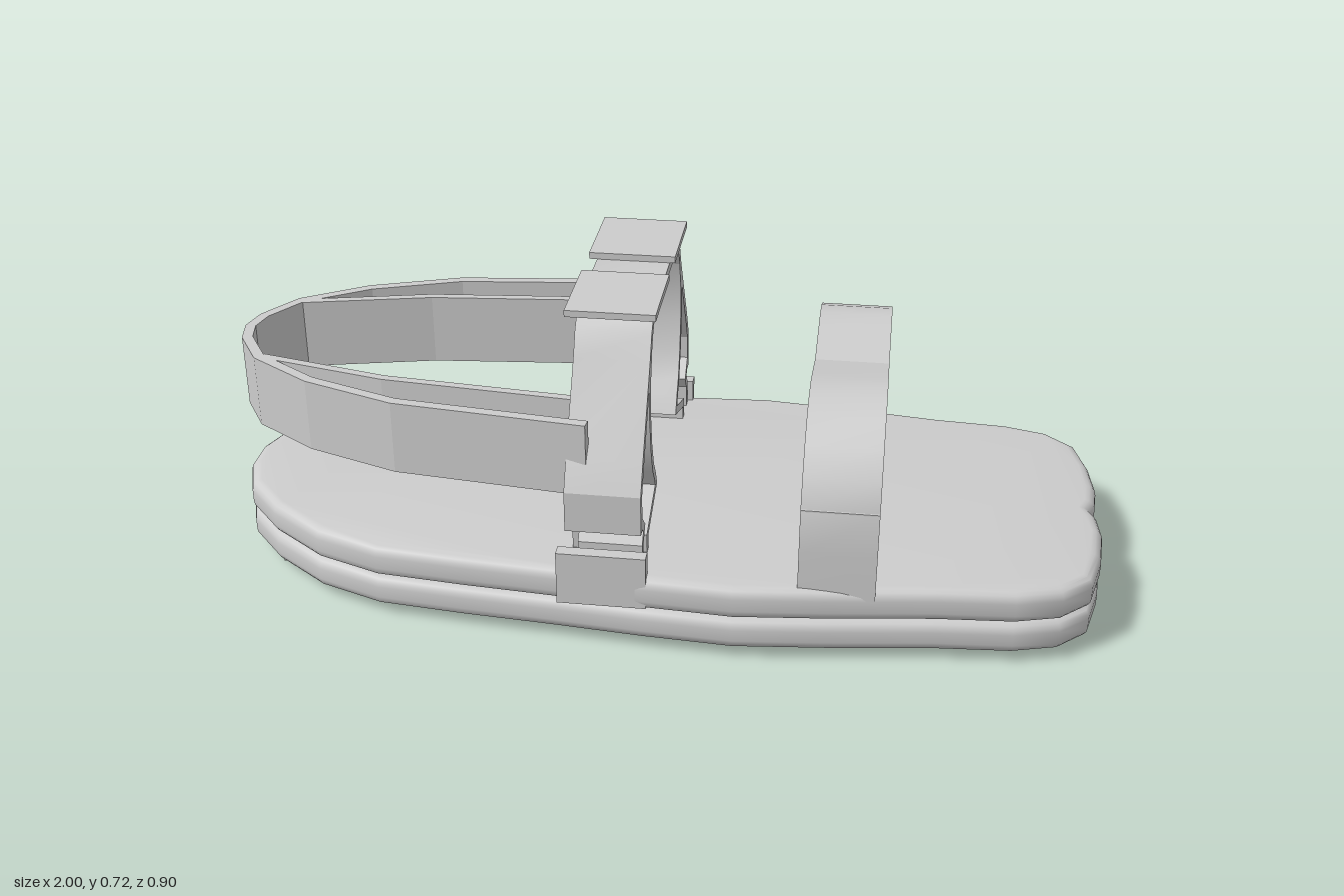
import * as THREE from 'three';
import { toCreasedNormals } from 'three/addons/utils/BufferGeometryUtils.js';

const grey = new THREE.MeshStandardMaterial({ color: 0xcccccc });
grey.name = 'grey';

function add(parent, name, geometry) {
  const mesh = new THREE.Mesh(geometry, grey);
  mesh.name = name;
  parent.add(mesh);
  return mesh;
}

// Closed band of constant thickness around an open 2D centre line
function ribbonShape(points, thickness) {
  const p = points.map(([a, b]) => new THREE.Vector2(a, b));
  const left = [], right = [];
  p.forEach((q, i) => {
    const a = q.clone().sub(p[Math.max(i - 1, 0)]).normalize();
    const b = p[Math.min(i + 1, p.length - 1)].clone().sub(q).normalize();
    const t = a.clone().add(b).normalize();
    const n = new THREE.Vector2(-t.y, t.x);
    const ref = i === 0 ? b : a;
    const miter = thickness / 2 / Math.max(0.55, t.dot(ref));
    left.push(q.clone().addScaledVector(n, miter));
    right.unshift(q.clone().addScaledVector(n, -miter));
  });
  return new THREE.Shape([...left, ...right]);
}

// Band drawn in (z, y), running across the foot, spanning x0..x1
function crossBand(points, thickness, x0, x1) {
  const shape = ribbonShape(points.map(([z, y]) => [-z, y]), thickness);
  const g = new THREE.ExtrudeGeometry(shape, { depth: x1 - x0, bevelEnabled: false });
  g.rotateY(Math.PI / 2);
  g.translate(x0, 0, 0);
  return toCreasedNormals(g, 0.45);
}

// Band drawn in (x, z), standing upright from y0 to y1
function uprightBand(points, thickness, y0, y1) {
  const g = new THREE.ExtrudeGeometry(ribbonShape(points, thickness), { depth: y1 - y0, bevelEnabled: false });
  g.rotateX(Math.PI / 2);
  g.translate(0, y1, 0);
  return g;
}

const flip = (pts) => pts.map(([z, y]) => [-z, y]);
const mirrored = (half) => [...half, ...flip(half).reverse()];

// Half outline of the sole (x, z), heel to toe
const outline = [
  [-1, 0.04], [-0.965, 0.14], [-0.88, 0.235], [-0.75, 0.33], [-0.6, 0.385],
  [-0.4, 0.405], [-0.2, 0.42], [0, 0.438], [0.2, 0.45], [0.4, 0.43], [0.63, 0.4],
  [0.8, 0.388], [0.9, 0.36], [0.965, 0.3], [0.99, 0.2], [1, 0.1], [0.993, 0.03], [0.98, 0],
];

function halfWidth(x) {
  for (let i = 1; i < outline.length; i++) {
    const [x0, z0] = outline[i - 1], [x1, z1] = outline[i];
    if (x <= x1) return z0 + (z1 - z0) * (x - x0) / (x1 - x0);
  }
  return 0;
}

function soleLayer(y0, y1) {
  const other = outline.slice(0, -1).reverse().map(([x, z]) => [x, -z]);
  const shape = new THREE.Shape([...outline, ...other].map(([x, z]) => new THREE.Vector2(x, z)));
  const r = 0.025;
  const g = new THREE.ExtrudeGeometry(shape, {
    depth: y1 - y0 - 2 * r, bevelSize: r, bevelThickness: r, bevelOffset: -r, bevelSegments: 4,
  });
  g.rotateX(Math.PI / 2);
  g.translate(0, y1 - r, 0);
  return toCreasedNormals(g, 0.7);
}

export function createModel() {
  const model = new THREE.Group();
  model.name = 'sandal';

  // Two-layer sole
  add(model, 'outsole', soleLayer(0.023, 0.099));
  add(model, 'footbed', soleLayer(0.099, 0.178));

  // Tread bars under the sole
  for (let i = 0; i < 10; i++) {
    const x = -0.855 + i * 0.1855;
    const bar = add(model, 'treadBar', new THREE.BoxGeometry(0.06, 0.03, halfWidth(x) * 1.54));
    bar.position.set(x, 0.015, 0);
  }

  // Two toe straps crossing over the forefoot
  const toe = [
    [0.408, 0.15], [0.406, 0.26], [0.4, 0.36], [0.372, 0.42], [0.33, 0.475], [0.28, 0.515],
    [0.23, 0.533], [0.18, 0.538], [0.12, 0.528], [0, 0.503], [-0.15, 0.473], [-0.3, 0.44],
    [-0.36, 0.412], [-0.4, 0.36], [-0.408, 0.15],
  ];
  add(model, 'toeStrap', crossBand(toe, 0.022, 0.336, 0.502));
  add(model, 'toeStrapCrossing', crossBand(flip(toe), 0.022, 0.336, 0.502));

  // Instep arch
  const arch = [
    [0.403, 0.275], [0.402, 0.365], [0.37, 0.425], [0.253, 0.61], [0.228, 0.66],
    [0.205, 0.685], [0.17, 0.697],
  ];
  add(model, 'instepStrap', crossBand(mirrored(arch), 0.022, -0.165, 0));

  // Heel strap: outer band all the way round
  const heel = [[-0.12, 0.372], [-0.55, 0.325], [-0.76, 0.25], [-0.905, 0.155], [-0.965, 0.06]];
  const heelPath = [...heel, [-0.978, 0], ...heel.map(([x, z]) => [x, -z]).reverse()];
  add(model, 'heelStrap', uprightBand(heelPath, 0.024, 0.347, 0.516));

  for (const s of [1, -1]) {
    const side = (pts) => (s > 0 ? pts : flip(pts));

    // Inner loop hanging from the arch down to the footbed
    const loop = [
      [0.24, 0.635], [0.262, 0.56], [0.264, 0.48], [0.248, 0.4], [0.222, 0.335],
      [0.195, 0.3], [0.177, 0.268], [0.316, 0.217], [0.313, 0.16],
    ];
    add(model, 'instepLiningStrap', crossBand(side(loop), 0.02, -0.165, 0));

    // Narrow folded strap feeding the side buckle
    const feed = [[0.4, 0.3], [0.362, 0.265], [0.385, 0.235], [0.385, 0.15]];
    add(model, 'buckleStrap', crossBand(side(feed), 0.02, -0.14, 0));

    // Inner heel lining
    const lining = [[-0.165, 0.26], [-0.6, 0.22], [-0.9, 0.15]].map(([x, z]) => [x, z * s]);
    add(model, 'heelLining', uprightBand(lining, 0.02, 0.347, 0.516));

    // Side buckle and top fastening plate
    const buckle = add(model, 'sideBuckle', new THREE.BoxGeometry(0.195, 0.125, 0.03));
    buckle.position.set(-0.085, 0.168, s * 0.422);
    const plate = add(model, 'topFastener', new THREE.BoxGeometry(0.195, 0.015, 0.215));
    plate.position.set(-0.085, 0.716, s * 0.157);
  }
  return model;
}
